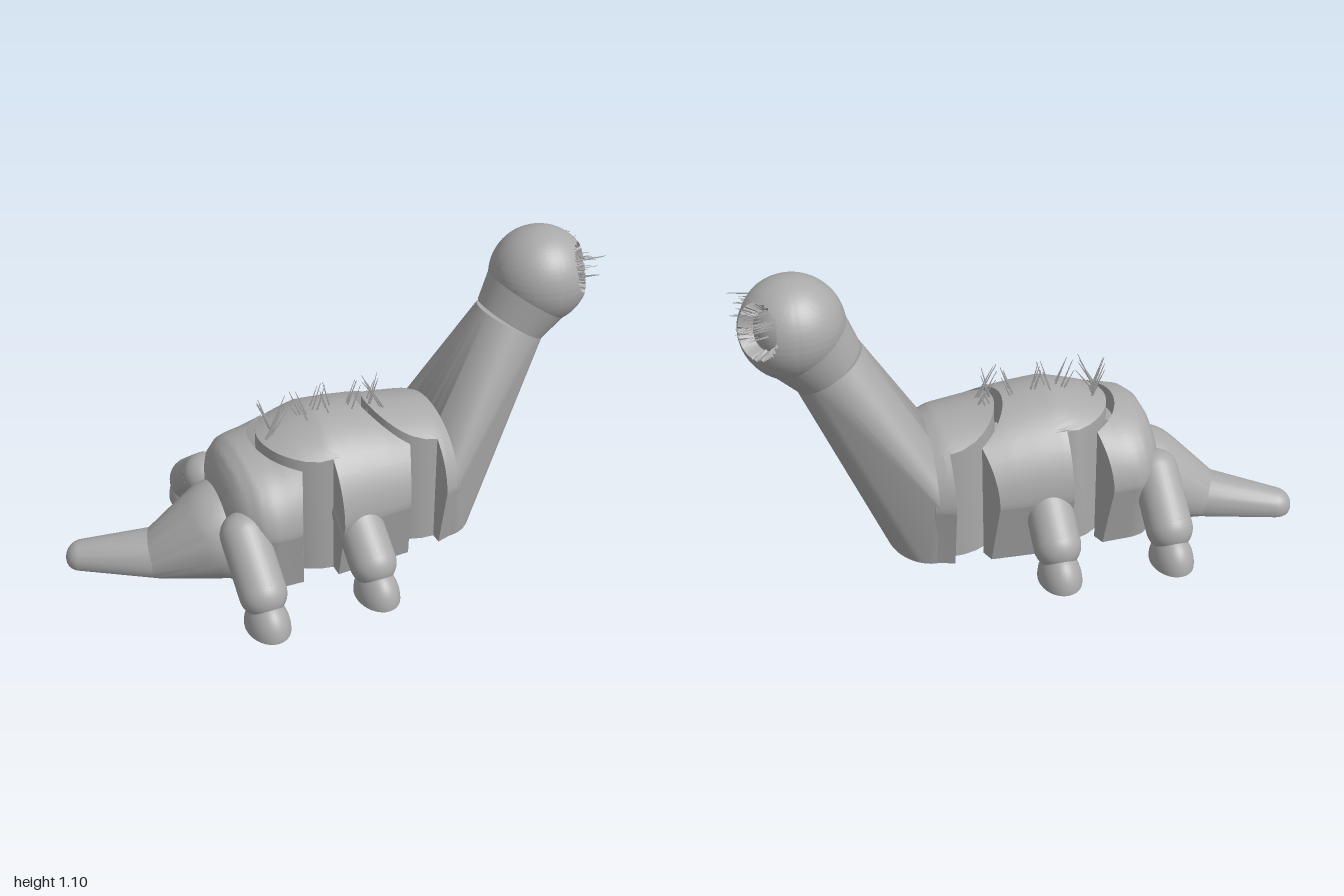
import * as THREE from 'three';
import { toCreasedNormals } from 'three/addons/utils/BufferGeometryUtils.js';
import { ConvexGeometry } from 'three/addons/geometries/ConvexGeometry.js';

const V = (x, y, z) => new THREE.Vector3(x, y, z);
const lerp = THREE.MathUtils.lerp;

// piecewise linear profile lookup
function profile(points, x) {
  if (x <= points[0][0]) return points[0][1];
  for (let i = 1; i < points.length; i++) {
    const [x0, y0] = points[i - 1], [x1, y1] = points[i];
    if (x <= x1) return lerp(y0, y1, (x - x0) / (x1 - x0));
  }
  return points[points.length - 1][1];
}

// body half width and back height along its length
const WIDTH = [[-0.48, 0.13], [-0.465, 0.19], [-0.44, 0.235], [-0.4, 0.275], [-0.36, 0.29], [-0.25, 0.295], [-0.11, 0.31], [0.17, 0.293], [0.31, 0.28], [0.38, 0.255]];
const BACK = [[-0.48, 0.34], [-0.465, 0.4], [-0.44, 0.445], [-0.4, 0.473], [-0.31, 0.492], [-0.22, 0.525], [-0.1, 0.56], [0, 0.553], [0.1, 0.54], [0.18, 0.522], [0.33, 0.5], [0.38, 0.48]];
const MID = 0.25, FLAT = 0.82;
const topY = (x, u) => MID + (profile(BACK, x) - MID) * Math.sqrt(Math.max(0, 1 - u * u));
const bottomY = (u) => MID * Math.max(0, (Math.abs(u) - FLAT) / (1 - FLAT));

// rounded end of a segment, and the hollow in front of it that receives the next one
const lobe = (cx) => (z) => cx - Math.sqrt(Math.max(0, 0.04 - z * z));
const socket = (cx) => (z) => Math.abs(z) < 0.2
  ? cx - Math.sqrt(0.0529 - z * z)
  : cx - 0.1136 - (Math.abs(z) - 0.2) * 0.4;

// body segment between two end curves x = f(z)
function segment(xBack, xFront) {
  const us = [];
  for (let k = -20; k <= 20; k++) us.push(Math.sin((k / 20) * Math.PI / 2));
  us.push(-FLAT, FLAT, -2 / 3, 2 / 3);
  us.sort((a, b) => a - b);
  const rows = 18, pos = [];
  const quad = (a, b, c, d) => {
    for (const p of [a, b, c, b, d, c]) pos.push(p.x, p.y, p.z);
  };
  const at = (i, j, t) => {
    const u = us[j];
    const x = lerp(xBack(u * 0.3), xFront(u * 0.3), i / rows);
    return V(x, lerp(bottomY(u), topY(x, u), t), u * profile(WIDTH, x));
  };
  for (let j = 0; j < us.length - 1; j++) {
    for (let i = 0; i < rows; i++) {
      quad(at(i, j, 1), at(i, j + 1, 1), at(i + 1, j, 1), at(i + 1, j + 1, 1));
      quad(at(i, j + 1, 0), at(i, j, 0), at(i + 1, j + 1, 0), at(i + 1, j, 0));
    }
    quad(at(0, j, 0), at(0, j + 1, 0), at(0, j, 1), at(0, j + 1, 1));
    quad(at(rows, j + 1, 0), at(rows, j, 0), at(rows, j + 1, 1), at(rows, j, 1));
  }
  const g = new THREE.BufferGeometry();
  g.setAttribute('position', new THREE.Float32BufferAttribute(pos, 3));
  return toCreasedNormals(g, 0.6);
}

// points of a ball, pressed flat where it would pass the ground
function ball(x, y, z, r) {
  const pts = [], p = new THREE.SphereGeometry(r, 28, 18).attributes.position;
  for (let i = 0; i < p.count; i++) pts.push(V(p.getX(i) + x, Math.max(0, p.getY(i) + y), p.getZ(i) + z));
  return pts;
}
const hull = (pts) => toCreasedNormals(new ConvexGeometry(pts), 0.6);

// head ball with two sunken round eye sockets
function headGeometry(r, inner) {
  const g = new THREE.SphereGeometry(r, 120, 80);
  const p = g.attributes.position, rim = 0.54, v = V(0, 0, 0);
  const axes = [V(0.77, 0.25, 0.56).normalize(), V(0.77, 0.25, -0.56).normalize()];
  for (let i = 0; i < p.count; i++) {
    v.fromBufferAttribute(p, i).normalize();
    for (const axis of axes) {
      const a = v.angleTo(axis);
      if (a > rim * 1.06) continue;
      if (a > rim * 0.92) {
        const side = v.clone().addScaledVector(axis, -v.dot(axis)).normalize();
        v.copy(axis).multiplyScalar(Math.cos(rim)).addScaledVector(side, Math.sin(rim));
      }
      v.multiplyScalar(a < rim ? inner : r);
      p.setXYZ(i, v.x, v.y, v.z);
      break;
    }
  }
  return toCreasedNormals(g, 0.6);
}

export function createModel() {
  const model = new THREE.Group();
  const grey = new THREE.MeshStandardMaterial({ color: 0xaaaaaa });
  grey.name = 'grey';
  const add = (name, geometry, parent = model) => {
    const m = new THREE.Mesh(geometry, grey);
    m.name = name;
    parent.add(m);
    return m;
  };
  // cylinder or cone between two points
  const rod = (name, a, b, ra, rb, sides, parent) => {
    const d = b.clone().sub(a);
    const m = add(name, new THREE.CylinderGeometry(rb, ra, d.length(), sides), parent);
    m.position.copy(a).add(b).multiplyScalar(0.5);
    m.quaternion.setFromUnitVectors(V(0, 1, 0), d.normalize());
    return m;
  };
  let seed = 7;
  const rand = () => (seed = (seed * 16807) % 2147483647) / 2147483647;

  // jointed body
  add('rearBody', segment(() => -0.48, socket(-0.11)));
  add('middleBody', segment(lobe(-0.11), socket(0.31)));
  add('frontBody', segment(lobe(0.31), () => 0.38));
  for (const x of [-0.33, 0.095]) {
    add('hingeBar', new THREE.BoxGeometry(0.09, 0.3, 0.09)).position.set(x, 0.25, 0);
  }

  // neck: body section and rounded footprint blended into a tilted disc
  const neckPts = [], centre = V(0.69, 0.755, 0);
  for (let i = 0; i < 48; i++) {
    const a = (i / 48) * Math.PI * 2, c = Math.cos(a), s = Math.sin(a);
    neckPts.push(V(centre.x + 0.12 * c, centre.y - 0.065 * c, 0.137 * s));
    const u = Math.cos(a / 2), w = profile(WIDTH, 0.365);
    neckPts.push(V(0.365, topY(0.365, u), u * w));
    neckPts.push(V(0.365 + 0.155 * Math.abs(Math.sin(a / 2)), 0, u * w * FLAT));
  }
  add('neck', hull(neckPts));

  // head
  const headCentre = V(0.8, 0.917, 0);
  rod('throat', centre, headCentre, 0.137, 0.18, 48);
  add('head', headGeometry(0.183, 0.132)).position.copy(headCentre);

  // tail bending to one side
  const root = ball(-0.45, 0.13, -0.02, 0.19);
  const bend = ball(-0.67, 0.03, -0.08, 0.108);
  const tip = ball(-0.935, 0.02, -0.2, 0.065);
  add('tailBase', hull([...root, ...bend]));
  add('tailTip', hull([...bend, ...tip]));

  // legs
  for (const x of [-0.45, -0.03]) {
    for (const side of [1, -1]) {
      const leg = new THREE.Group();
      leg.name = x < -0.2 ? 'rearLeg' : 'middleLeg';
      model.add(leg);
      const hip = V(x, 0.25, 0.2 * side), knee = V(x, 0.117, 0.372 * side);
      rod('upperLeg', hip, knee, 0.085, 0.085, 32, leg);
      for (const p of [hip, knee]) add('legJoint', new THREE.SphereGeometry(0.085, 32, 20), leg).position.copy(p);
      const foot = new THREE.SphereGeometry(1, 32, 20, 0, Math.PI * 2, 0, Math.PI / 2);
      foot.scale(0.078, 0.115, 0.108);
      add('foot', foot, leg).position.set(x, 0, 0.408 * side);
      const sole = add('sole', new THREE.CircleGeometry(1, 32).rotateX(Math.PI / 2), leg);
      sole.scale.set(0.078, 1, 0.108);
      sole.position.set(x, 0, 0.408 * side);
    }
  }

  // bristles along the back, in leaning tufts
  const tufts = [[-0.26, -0.31], [-0.28, -0.21], [-0.12, -0.18], [-0.11, -0.06], [-0.02, -0.06], [0.02, 0.07], [0.18, 0.1], [0.12, 0.16]];
  const bristles = new THREE.Group();
  bristles.name = 'backBristles';
  model.add(bristles);
  for (const [bx, tx] of tufts) {
    for (let k = 0; k < 4; k++) {
      const z = (rand() - 0.5) * 0.08, j = (rand() - 0.5) * 0.03;
      rod('bristle', V(bx + j, 0.5, z), V(tx + j, 0.59 + rand() * 0.075, z), 0.005, 0.001, 4, bristles);
    }
  }

  // bristles in the eye sockets
  for (const side of [1, -1]) {
    const lashes = new THREE.Group();
    lashes.name = side > 0 ? 'leftEyeBristles' : 'rightEyeBristles';
    model.add(lashes);
    for (let k = 0; k < 18; k++) {
      const y = 0.92 + rand() * 0.09, z = 0.035 + rand() * 0.08;
      rod('lash', V(0.87, y, z * side), V(0.94 + rand() * 0.06, y + (rand() - 0.5) * 0.015, (z + 0.02) * side), 0.003, 0.001, 4, lashes);
    }
  }
  return model;
}
